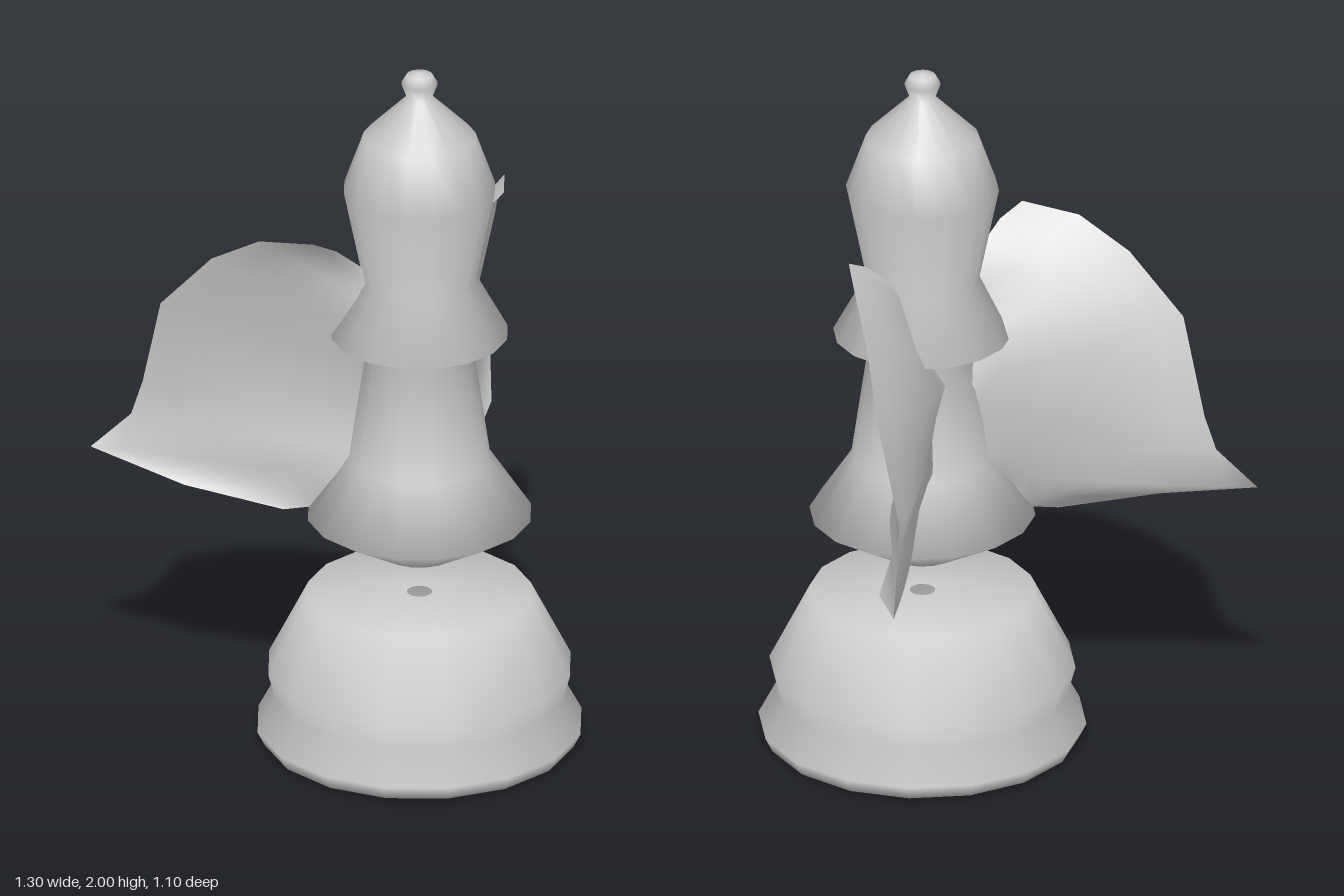
import * as THREE from 'three';

const grey = new THREE.MeshStandardMaterial({ color: 0xcccccc, side: THREE.DoubleSide });
const SIDES = 16;
const AXIS_Z = 0.1; // the turned parts stand slightly forward of the wings

function turned(name, profile) {
  const points = profile.map(([r, y]) => new THREE.Vector2(r, y));
  const mesh = new THREE.Mesh(new THREE.LatheGeometry(points, SIDES), grey);
  mesh.name = name;
  mesh.position.z = AXIS_Z;
  return mesh;
}

// Wing rows from top to bottom: root point, outer edge point, backward belly, rear thickness
const WING_ROWS = [
  [[0.12, 1.40, 0.05], [0.24, 1.50, 0.055], 0.0, 0],
  [[0.12, 1.36, 0.06], [0.31, 1.535, 0.045], 0.01, 0.02],
  [[0.14, 1.31, 0.065], [0.40, 1.515, -0.09], 0.01, 0.05],
  [[0.15, 1.22, 0.06], [0.47, 1.43, -0.22], 0.0, 0.09],
  [[0.12, 1.12, 0.03], [0.545, 1.26, -0.36], 0.0, 0.11],
  [[0.11, 0.97, 0.025], [0.545, 0.99, -0.45], 0.0, 0.065],
  [[0.14, 0.87, 0.01], [0.57, 0.89, -0.47], -0.03, 0.08],
  [[0.18, 0.79, 0.0], [0.65, 0.78, -0.55], 0.0, 0.06],
  [[0.21, 0.72, -0.05], [0.50, 0.72, -0.31], 0.0, 0.03],
  [[0.22, 0.68, -0.07], [0.30, 0.67, -0.12], 0.0, 0],
];
const COLS = 8;
const BACK = new THREE.Vector3(-0.646, 0, -0.763);

// One skin of a wing; the rear skin is pushed back and meets the front one at the edge
function wingSkin(name, side, rear) {
  const pos = [], index = [];
  const last = WING_ROWS.length - 1;
  for (const [root, edge, belly, thickness] of WING_ROWS) {
    const a = new THREE.Vector3(...root), b = new THREE.Vector3(...edge);
    for (let j = 0; j <= COLS; j++) {
      const u = j / COLS;
      const bend = belly * Math.sin(Math.PI * u) + (rear ? thickness * (1 - u * u) : 0);
      const p = a.clone().lerp(b, u).addScaledVector(BACK, bend);
      pos.push(p.x * side, p.y, p.z);
    }
  }
  const flip = (side < 0) !== rear;
  for (let i = 0; i < last; i++) {
    for (let j = 0; j < COLS; j++) {
      const p = i * (COLS + 1) + j, q = p + COLS + 1;
      if (flip) index.push(p, p + 1, q, p + 1, q + 1, q);
      else index.push(p, q, p + 1, p + 1, q, q + 1);
    }
  }
  const geo = new THREE.BufferGeometry();
  geo.setAttribute('position', new THREE.Float32BufferAttribute(pos, 3));
  geo.setIndex(index);
  geo.computeVertexNormals();
  const mesh = new THREE.Mesh(geo, grey);
  mesh.name = name;
  return mesh;
}

function wing(name, side) {
  const group = new THREE.Group();
  group.name = name;
  group.add(wingSkin('frontSkin', side, false), wingSkin('rearSkin', side, true));
  return group;
}

export function createModel() {
  const model = new THREE.Group();
  model.name = 'wingedPawn';

  // Plinth, with a tiny hole in the middle of its top
  model.add(turned('plinth', [
    [0, 0], [0.43, 0.005], [0.45, 0.045], [0.4, 0.14], [0.42, 0.215], [0.31, 0.433], [0.035, 0.433],
  ]));

  // Floating body in one turned piece: hips, waist, collar, head and finial
  model.add(turned('body', [
    [0, 0.55], [0.1, 0.55], [0.31, 0.672], [0.195, 0.845], [0.145, 1.19],
    [0.245, 1.215], [0.155, 1.38], [0.21, 1.65], [0.155, 1.805], [0.035, 1.925],
    [0.05, 1.965], [0.036, 1.99], [0, 2],
  ]));

  // Swept-back wings
  model.add(wing('leftWing', 1), wing('rightWing', -1));
  return model;
}
